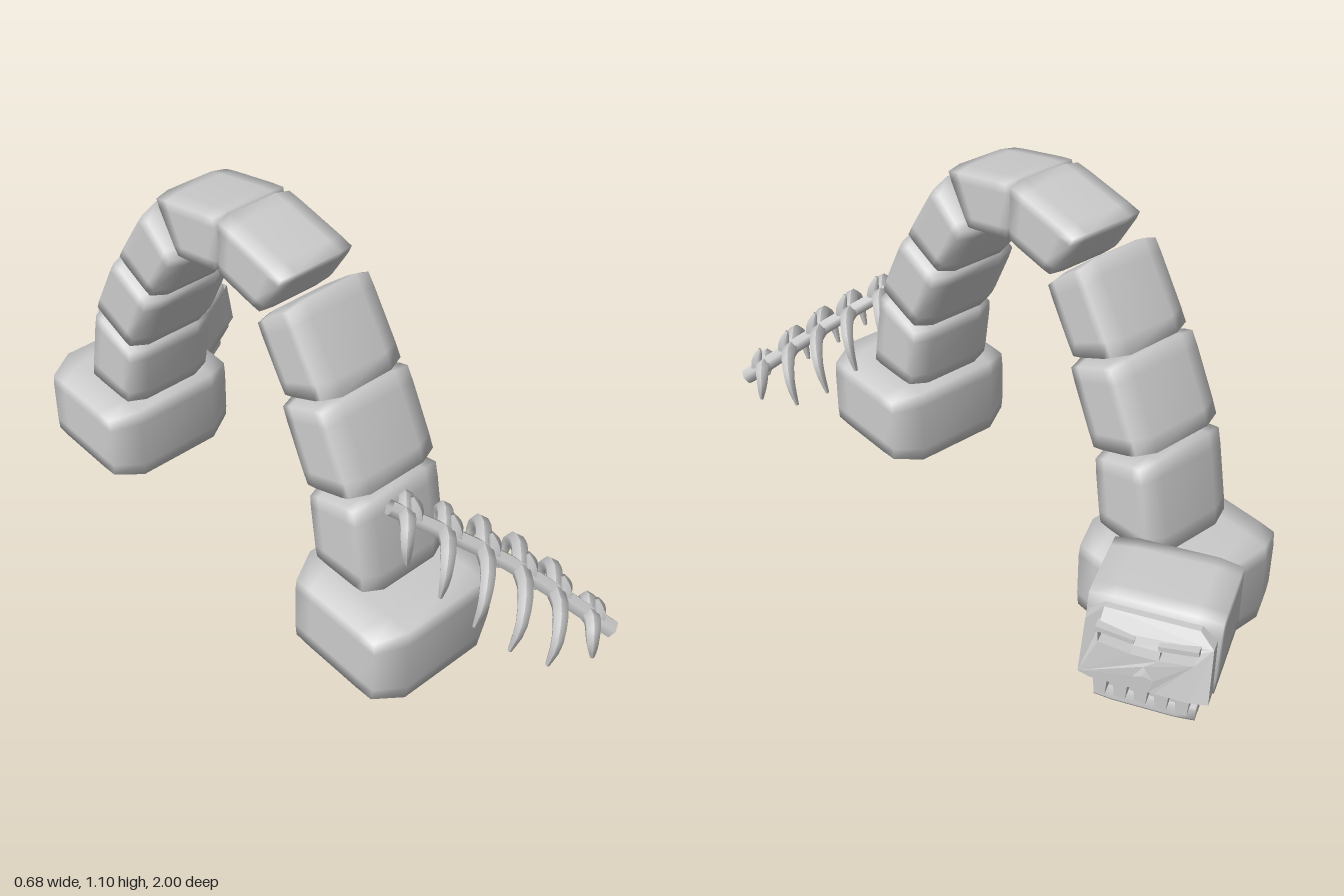
import * as THREE from 'three';
import { mergeVertices } from 'three/addons/utils/BufferGeometryUtils.js';

const grey = new THREE.MeshStandardMaterial({ color: 0xcccccc, side: THREE.DoubleSide });

function add(parent, name, geometry) {
  const mesh = new THREE.Mesh(geometry, grey);
  mesh.name = name;
  parent.add(mesh);
  return mesh;
}

// Worn stone block: side profile [z, y] (backBottom, frontBottom, frontTop, backTop)
// spread over a half width, with its two x faces shrunk to cut the corners.
function block(quad, halfWidth, shrinkY = 0.92, shrinkZ = 0.82) {
  let g = new THREE.BoxGeometry(2, 2, 2, 3, 3, 3);
  g.deleteAttribute('uv');
  g.deleteAttribute('normal');
  g = mergeVertices(g);
  const p = g.attributes.position;
  const spread = (c) => (Math.abs(c) > 0.9 ? Math.sign(c) : Math.sign(c) * 0.62);
  for (let i = 0; i < p.count; i++) {
    const x = spread(p.getX(i));
    let v = spread(p.getY(i)), u = spread(p.getZ(i));
    if (Math.abs(u) === 1 && Math.abs(v) === 1) { u *= 0.97; v *= 0.97; }
    if (Math.abs(x) === 1) { v *= shrinkY; u *= shrinkZ; }
    const w = [(1 - u) * (1 - v), (1 + u) * (1 - v), (1 + u) * (1 + v), (1 - u) * (1 + v)];
    let z = 0, y = 0;
    quad.forEach((q, k) => { z += q[0] * w[k] / 4; y += q[1] * w[k] / 4; });
    p.setXYZ(i, x * halfWidth, y, z);
  }
  g.computeVertexNormals();
  return g;
}

// Tube along points, its radius running from r0 to r1
function taperedTube(points, r0, r1, sides = 6) {
  const steps = 8;
  const curve = new THREE.CatmullRomCurve3(points);
  const g = new THREE.TubeGeometry(curve, steps, 1, sides);
  const p = g.attributes.position, v = new THREE.Vector3();
  for (let i = 0; i < p.count; i++) {
    const t = Math.floor(i / (sides + 1)) / steps;
    const c = curve.getPointAt(t);
    v.fromBufferAttribute(p, i).sub(c).multiplyScalar(r0 + (r1 - r0) * t * t).add(c);
    p.setXYZ(i, v.x, v.y, v.z);
  }
  g.computeVertexNormals();
  return g;
}

// Arch: one leg of stones, mirrored to the back
function buildArch() {
  const arch = new THREE.Group();
  arch.name = 'arch';
  arch.position.x = -0.126;
  const stones = [
    ['base', 0.217, [[0.35, 0], [0.735, 0], [0.735, 0.255], [0.35, 0.255]], 0.84, 0.78],
    ['lowerStone', 0.145, [[0.375, 0.26], [0.595, 0.26], [0.54, 0.54], [0.345, 0.47]]],
    ['middleStone', 0.146, [[0.345, 0.48], [0.535, 0.55], [0.415, 0.78], [0.24, 0.7]]],
    ['upperStone', 0.133, [[0.245, 0.705], [0.415, 0.78], [0.27, 1.0], [0.135, 0.885]]],
    ['crownStone', 0.115, [[-0.022, 0.93], [0.14, 0.895], [0.235, 1.045], [-0.022, 1.1]], 0.92, 0.96],
  ];
  for (const [name, width, quad, sy, sz] of stones) {
    add(arch, name + 'Front', block(quad, width, sy, sz));
    const mirrored = [1, 0, 3, 2].map((k) => [-0.05 - quad[k][0], quad[k][1]]);
    add(arch, name + 'Back', block(mirrored, width, sy, sz));
  }
  return arch;
}

// Spine leaning on the front leg, with curled ribs and spikes
function buildSpine() {
  const spine = new THREE.Group();
  spine.name = 'spineWithRibs';
  const path = new THREE.CatmullRomCurve3([
    new THREE.Vector3(-0.19, 0.52, 0.57),
    new THREE.Vector3(0.045, 0.325, 0.765),
    new THREE.Vector3(0.25, 0.1, 0.975),
  ]);
  add(spine, 'backbone', taperedTube(path.getPoints(6), 0.022, 0.027));
  const along = new THREE.Vector3(0.61, -0.58, 0.54).normalize();
  const side = new THREE.Vector3(0.66, 0, -0.75).normalize();
  const up = new THREE.Vector3().crossVectors(side, along).normalize();
  if (up.y < 0) up.negate();
  const reach = [0.085, 0.12, 0.145, 0.155, 0.14, 0.075];
  reach.forEach((r, i) => {
    const c = path.getPointAt(0.08 + i * 0.165);
    const at = (s, u, a) => c.clone().addScaledVector(side, s)
      .addScaledVector(up, u).addScaledVector(along, a);
    for (const s of [-1, 1]) {
      add(spine, 'rib', taperedTube([
        at(0, 0, -0.01), at(s * r * 0.5, 0.012, -0.015),
        at(s * r * 0.95, -r * 0.25, 0.005), at(s * r * 0.95, -r * 0.85, 0.045),
      ], 0.024, 0.006));
    }
    add(spine, 'spike', taperedTube([
      at(0, 0, 0.02), at(0, 0.03, 0), at(0, 0.058, -0.035),
    ], 0.022, 0.005, 5));
  });
  return spine;
}

function polygon(points, Kind = THREE.Path) {
  return new Kind(points.map(([x, y]) => new THREE.Vector2(x, y)));
}

// Blocky skull resting against the back base
function buildSkull() {
  const skull = new THREE.Group();
  skull.name = 'skull';
  skull.position.set(0.12, 0, -0.778);
  skull.rotation.y = 2.085;
  add(skull, 'cranium', block(
    [[-0.158, 0.125], [0.125, 0.125], [0.085, 0.342], [-0.15, 0.342]], 0.168, 0.92, 0.96));

  // Face plate with a toothed lower edge, eye and nose openings
  const outline = [[-0.16, 0.29], [-0.165, 0.14], [-0.135, 0.13]];
  for (let i = 0; i < 5; i++) {
    const x = -0.125 + i * 0.052;
    outline.push([x, 0.13], [x + 0.004, 0.088], [x + 0.032, 0.085], [x + 0.036, 0.13]);
  }
  outline.push([0.165, 0.14], [0.16, 0.29], [0.12, 0.32], [-0.12, 0.32]);
  const face = polygon(outline, THREE.Shape);
  for (const s of [-1, 1]) {
    face.holes.push(polygon([[s * 0.035, 0.235], [s * 0.12, 0.245], [s * 0.125, 0.275], [s * 0.035, 0.258]]));
  }
  face.holes.push(polygon([[-0.026, 0.17], [0, 0.178], [0.026, 0.17], [0.012, 0.19], [0, 0.21], [-0.012, 0.19]]));
  const faceGeo = new THREE.ExtrudeGeometry(face, { depth: 0.06, bevelEnabled: false });
  // Lean the forehead back
  const p = faceGeo.attributes.position;
  for (let i = 0; i < p.count; i++) {
    const lean = Math.max(0, p.getY(i) - 0.19);
    p.setZ(i, p.getZ(i) + 0.1 - lean * lean * 3.2);
  }
  faceGeo.computeVertexNormals();
  add(skull, 'face', faceGeo);

  // Brow ridges
  for (const s of [-1, 1]) {
    const brow = add(skull, 'brow', new THREE.BoxGeometry(0.1, 0.014, 0.03));
    brow.position.set(s * 0.08, 0.278, 0.135);
    brow.rotation.z = s * 0.14;
  }

  // Jaw with its rear hinge and lower teeth
  add(skull, 'jaw', block(
    [[-0.13, 0.04], [0.135, 0.04], [0.13, 0.082], [-0.13, 0.085]], 0.13, 0.92, 0.97));
  for (const s of [-1, 1]) {
    add(skull, 'jawHinge', new THREE.BoxGeometry(0.035, 0.07, 0.1)).position.set(s * 0.105, 0.105, -0.07);
  }
  for (let i = 0; i < 4; i++) {
    add(skull, 'lowerTooth', new THREE.BoxGeometry(0.022, 0.03, 0.025)).position.set(-0.081 + i * 0.052, 0.09, 0.11);
  }
  return skull;
}

export function createModel() {
  const model = new THREE.Group();
  model.name = 'boneArch';
  model.add(buildArch(), buildSpine(), buildSkull());
  return model;
}
